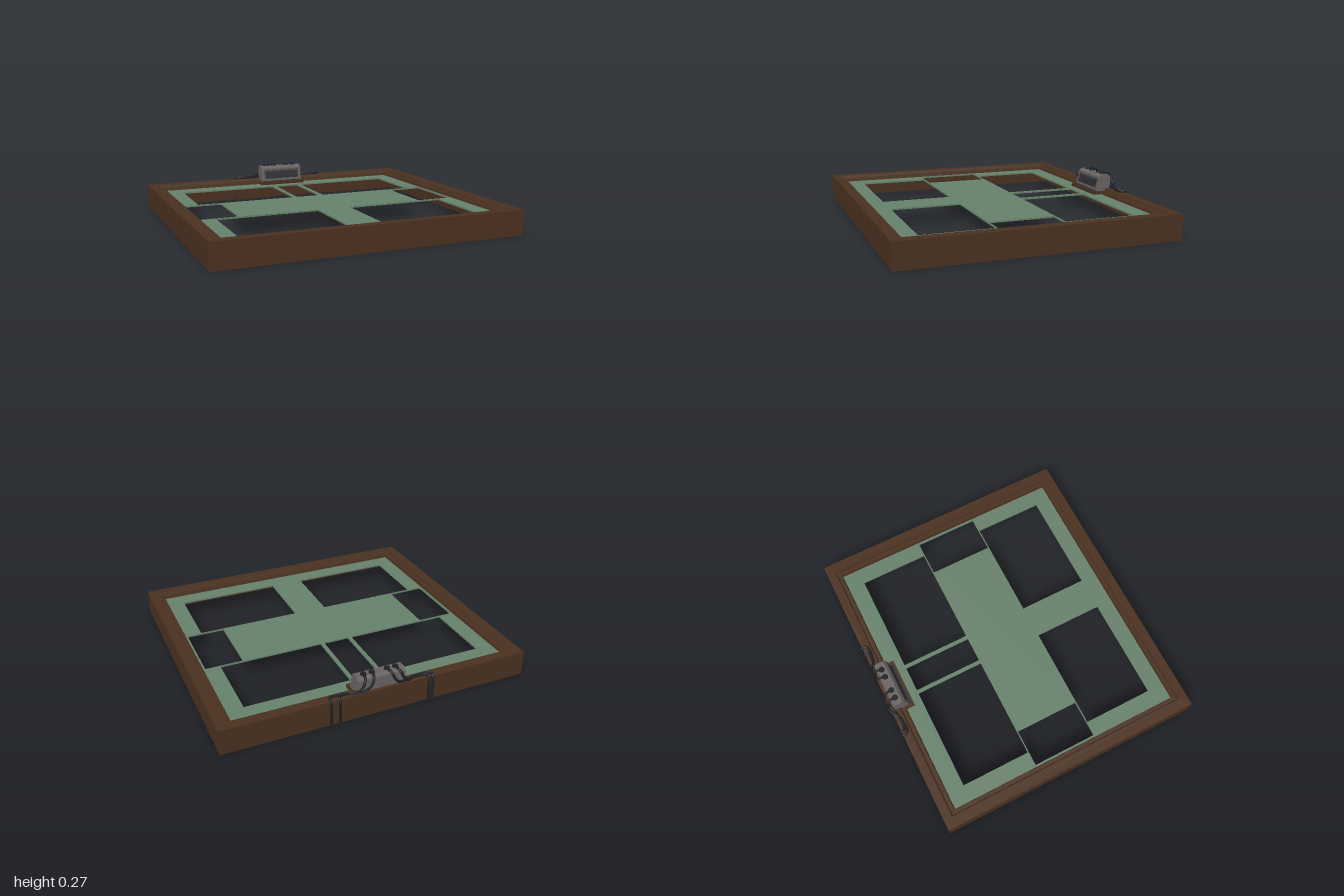
import * as THREE from 'three';

const mat = (name, color, side = THREE.FrontSide) => {
  const m = new THREE.MeshStandardMaterial({ color, side });
  m.name = name;
  return m;
};

export function createModel() {
  const group = new THREE.Group();
  const brown = mat('dark wood', 0x4a3120, THREE.DoubleSide);
  const green = mat('green sheet', 0x66806a);
  const grey = mat('housing grey', 0x686361);
  const midGrey = mat('bezel grey', 0x4c4a4a);
  const dark = mat('panel charcoal', 0x2b2d32);
  const black = mat('cable black', 0x1d2022);

  const add = (name, geometry, material, x = 0, y = 0, z = 0) => {
    const mesh = new THREE.Mesh(geometry, material);
    mesh.name = name;
    mesh.position.set(x, y, z);
    group.add(mesh);
    return mesh;
  };
  const box = (name, m, w, h, d, x, y, z) => add(name, new THREE.BoxGeometry(w, h, d), m, x, y, z);

  // Hollow stepped frame: rectangular loops [half width, back z, front z, y]
  const loops = [
    [1, -0.874, 0.89, 0],
    [1, -0.874, 0.89, 0.163],
    [0.932, -0.817, 0.832, 0.163],
    [0.925, -0.81, 0.825, 0.145],
    [0.9, -0.785, 0.805, 0.145],
    [0.893, -0.778, 0.798, 0.115],
  ].map(([w, z0, z1, y]) => [[-w, y, z1], [w, y, z1], [w, y, z0], [-w, y, z0]]);
  const pos = [];
  for (let i = 0; i < loops.length - 1; i++) {
    for (let j = 0; j < 4; j++) {
      const k = (j + 1) % 4;
      const [a, b, c, d] = [loops[i][j], loops[i][k], loops[i + 1][k], loops[i + 1][j]];
      pos.push(...a, ...b, ...c, ...a, ...c, ...d);
    }
  }
  const frameGeo = new THREE.BufferGeometry();
  frameGeo.setAttribute('position', new THREE.Float32BufferAttribute(pos, 3));
  frameGeo.computeVertexNormals();
  add('frame', frameGeo, brown);

  // Inner sheet with rectangular cut-outs
  const rect = (P, x0, x1, z0, z1) => new P([[x0, -z1], [x1, -z1], [x1, -z0], [x0, -z0]]
    .map(([x, y]) => new THREE.Vector2(x, y)));
  const sheet = rect(THREE.Shape, -0.895, 0.895, -0.78, 0.8);
  sheet.holes.push(rect(THREE.Path, -0.085, 0.085, -0.668, -0.208));
  for (const s of [-1, 1]) {
    const hole = (a, b, z0, z1) =>
      sheet.holes.push(rect(THREE.Path, Math.min(s * a, s * b), Math.max(s * a, s * b), z0, z1));
    hole(0.11, 0.787, -0.668, -0.208);
    hole(0.637, 0.881, -0.201, 0.224);
    hole(0.11, 0.787, 0.231, 0.693);
  }
  const sheetGeo = new THREE.ExtrudeGeometry(sheet, { depth: 0.01, bevelEnabled: false });
  sheetGeo.rotateX(-Math.PI / 2);
  add('sheet', sheetGeo, green, 0, 0.115, 0);

  // Tray that holds the control box
  box('tray', brown, 0.34, 0.022, 0.09, -0.003, 0.135, -0.767);
  box('trayGroove', dark, 0.3, 0.004, 0.022, -0.003, 0.147, -0.748);

  // Control box: side profile [z, y] swept along x
  const profile = [[-0.752, 0.13], [-0.752, 0.163], [-0.773, 0.245], [-0.786, 0.257],
    [-0.84, 0.257], [-0.853, 0.24], [-0.855, 0.13]];
  const bodyGeo = new THREE.ExtrudeGeometry(
    new THREE.Shape(profile.map(([z, y]) => new THREE.Vector2(-z, y))),
    { depth: 0.31, bevelEnabled: false });
  bodyGeo.rotateY(Math.PI / 2);
  add('controlBox', bodyGeo, grey, -0.155, 0, 0);

  // Bezel and panel on the slanted front
  const tilt = -Math.atan2(0.021, 0.082);
  box('bezel', midGrey, 0.28, 0.07, 0.004, 0, 0.2, -0.7615).rotation.x = tilt;
  box('panel', dark, 0.254, 0.055, 0.006, 0, 0.193, -0.759).rotation.x = tilt;

  // Plugs and cables: [plug x, x where it turns down the back, z along the rim]
  const cables = [[0.05, 0.277, -0.845], [0.105, 0.333, -0.835],
    [-0.05, -0.307, -0.845], [-0.105, -0.333, -0.835]];
  for (const [x, end, z] of cables) {
    const s = Math.sign(x);
    add('plug', new THREE.CylinderGeometry(0.017, 0.02, 0.016, 16), black, x, 0.26, -0.817);
    const path = new THREE.CatmullRomCurve3([
      [x, 0.255, -0.817],
      [x + s * 0.002, 0.262, -0.838],
      [x + s * 0.01, 0.25, -0.868],
      [x + s * 0.03, 0.21, -0.88],
      [x + s * 0.065, 0.18, -0.872],
      [x + s * 0.1, 0.173, z - 0.012],
      [end - s * 0.055, 0.172, z],
      [end - s * 0.012, 0.172, z - 0.005],
      [end, 0.172, z - 0.02],
      [end, 0.168, -0.873],
      [end, 0.145, -0.882],
      [end, 0.07, -0.882],
      [end, 0.003, -0.882],
    ].map((p) => new THREE.Vector3(...p)), false, 'centripetal');
    add('cable', new THREE.TubeGeometry(path, 90, 0.0085, 8), black);
    const tip = add('cableEnd', new THREE.CircleGeometry(0.0085, 8), black, end, 0.003, -0.882);
    tip.rotation.x = Math.PI / 2;
  }

  return group;
}
